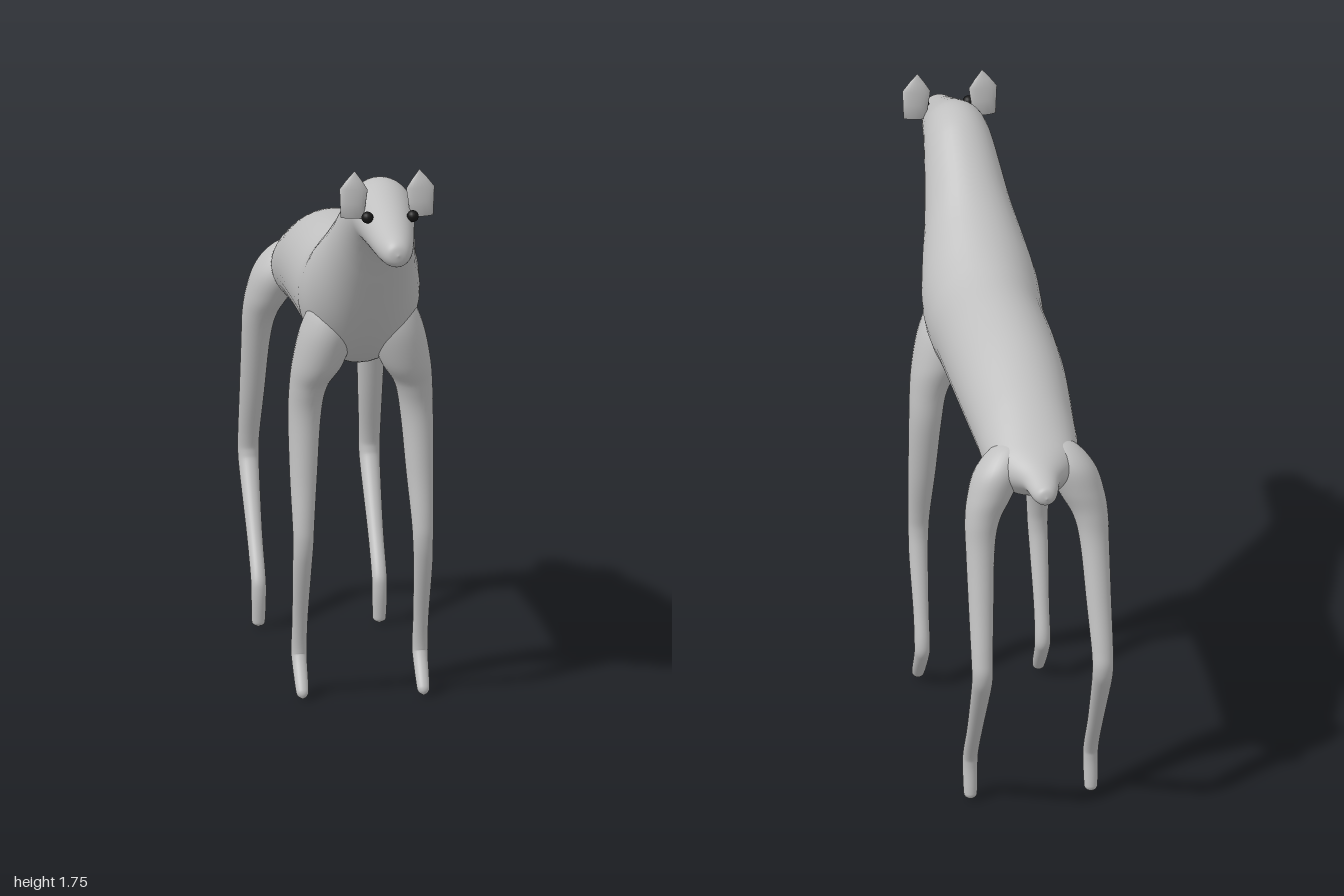
import * as THREE from 'three';

const coat = new THREE.MeshStandardMaterial({ color: 0xc0c0c0 });
coat.name = 'grey coat';
const dark = new THREE.MeshStandardMaterial({ color: 0x161616 });
dark.name = 'black eye';

// Smooth skin through oval stations [x, y, z, radius across, radius along the other axis]
function loft(stations, upright, steps, sides = 28) {
  const centres = new THREE.CatmullRomCurve3(
    stations.map(s => new THREE.Vector3(s[0], s[1], s[2])), false, 'catmullrom', 0.5);
  const radii = new THREE.CatmullRomCurve3(
    stations.map(s => new THREE.Vector3(s[3], s[4], 0)), false, 'catmullrom', 0.5);
  const u = new THREE.Vector3(1, 0, 0);
  const pos = [], index = [];
  for (let i = 0; i <= steps; i++) {
    const t = i / steps;
    const c = centres.getPoint(t), r = radii.getPoint(t);
    const d = upright ? new THREE.Vector3(0, 0, 1) : centres.getTangent(t);
    const v = d.cross(u).normalize();
    for (let j = 0; j < sides; j++) {
      const a = j / sides * Math.PI * 2;
      const p = c.clone()
        .addScaledVector(u, Math.max(r.x, 0) * Math.cos(a))
        .addScaledVector(v, Math.max(r.y, 0) * Math.sin(a));
      pos.push(p.x, p.y, p.z);
      if (i < steps) {
        const k = (j + 1) % sides, m = i * sides, n = m + sides;
        index.push(m + j, m + k, n + k, m + j, n + k, n + j);
      }
    }
  }
  const g = new THREE.BufferGeometry();
  g.setAttribute('position', new THREE.Float32BufferAttribute(pos, 3));
  g.setIndex(index);
  g.computeVertexNormals();
  return g;
}

function add(group, name, geometry, material) {
  const mesh = new THREE.Mesh(geometry, material);
  mesh.name = name;
  group.add(mesh);
  return mesh;
}

// Tail to nose: z, top, bottom, half width
const bodyProfile = [
  [-1, 1.10, 1.10, 0], [-0.99, 1.128, 1.078, 0.026], [-0.96, 1.138, 1.07, 0.04],
  [-0.9, 1.163, 1.075, 0.058], [-0.85, 1.187, 1.055, 0.095], [-0.8, 1.212, 1.03, 0.128],
  [-0.7, 1.265, 1.003, 0.146], [-0.6, 1.31, 1.01, 0.152], [-0.4, 1.375, 1.026, 0.165],
  [-0.2, 1.4, 1.033, 0.17], [0, 1.41, 1.028, 0.17], [0.1, 1.437, 1.022, 0.176],
  [0.2, 1.482, 1.04, 0.178], [0.3, 1.535, 1.11, 0.162], [0.4, 1.6, 1.212, 0.138],
  [0.5, 1.665, 1.335, 0.12], [0.55, 1.693, 1.4, 0.112], [0.6, 1.708, 1.458, 0.105],
  [0.65, 1.71, 1.498, 0.098], [0.7, 1.698, 1.51, 0.092], [0.8, 1.662, 1.512, 0.077],
  [0.9, 1.625, 1.51, 0.061], [0.96, 1.605, 1.512, 0.047], [0.99, 1.585, 1.525, 0.03],
  [1, 1.555, 1.555, 0],
];

const frontLeg = [
  [0.07, 1.27, 0.24, 0, 0], [0.085, 1.24, 0.235, 0.06, 0.06], [0.103, 1.16, 0.222, 0.083, 0.09],
  [0.132, 1.05, 0.205, 0.078, 0.085], [0.16, 0.97, 0.192, 0.058, 0.062],
  [0.171, 0.87, 0.187, 0.05, 0.05], [0.177, 0.7, 0.21, 0.042, 0.041],
  [0.181, 0.56, 0.238, 0.034, 0.033], [0.182, 0.49, 0.244, 0.031, 0.03],
  [0.184, 0.41, 0.23, 0.029, 0.028], [0.184, 0.25, 0.185, 0.024, 0.024],
  [0.184, 0.15, 0.163, 0.024, 0.026], [0.184, 0.11, 0.175, 0.023, 0.024],
  [0.184, 0.04, 0.23, 0.02, 0.019], [0.184, 0.022, 0.245, 0.015, 0.014],
  [0.184, 0.012, 0.252, 0, 0],
];

const hindLeg = [
  [0.06, 1.2, -0.755, 0, 0], [0.08, 1.175, -0.76, 0.05, 0.05], [0.11, 1.11, -0.775, 0.075, 0.082],
  [0.142, 1.03, -0.793, 0.068, 0.073], [0.166, 0.96, -0.81, 0.053, 0.055],
  [0.175, 0.87, -0.83, 0.044, 0.043], [0.18, 0.7, -0.875, 0.038, 0.037],
  [0.184, 0.56, -0.915, 0.033, 0.032], [0.184, 0.5, -0.922, 0.032, 0.032],
  [0.184, 0.44, -0.895, 0.03, 0.03], [0.184, 0.28, -0.79, 0.024, 0.025],
  [0.184, 0.17, -0.714, 0.023, 0.024], [0.184, 0.12, -0.699, 0.023, 0.023],
  [0.184, 0.04, -0.704, 0.021, 0.021], [0.184, 0.02, -0.706, 0.017, 0.017],
  [0.184, 0.01, -0.706, 0, 0],
];

export function createModel() {
  const model = new THREE.Group();
  model.name = 'longLeggedAnimal';

  add(model, 'body', loft(
    bodyProfile.map(([z, top, low, w]) => [0, (top + low) / 2, z, w, (top - low) / 2]),
    true, 144, 40), coat);

  for (const [side, sign] of [['left', 1], ['right', -1]]) {
    const mirrored = legs => legs.map(([x, ...rest]) => [x * sign, ...rest]);
    add(model, side + 'FrontLeg', loft(mirrored(frontLeg), false, 90), coat);
    add(model, side + 'HindLeg', loft(mirrored(hindLeg), false, 90), coat);

    // Flattened pointed ear
    const earProfile = [[0, 0], [0.035, 0], [0.039, 0.045], [0.043, 0.088], [0.024, 0.115], [0, 0.145]]
      .map(p => new THREE.Vector2(...p));
    const ear = new THREE.LatheGeometry(earProfile, 20);
    ear.scale(1, 1, 0.33);
    ear.rotateZ(sign * 0.05);
    ear.translate(sign * 0.106, 1.62, 0.754);
    add(model, side + 'Ear', ear, coat);

    const eye = new THREE.SphereGeometry(0.018, 16, 12);
    eye.translate(sign * 0.069, 1.635, 0.82);
    add(model, side + 'Eye', eye, dark);
  }
  return model;
}
